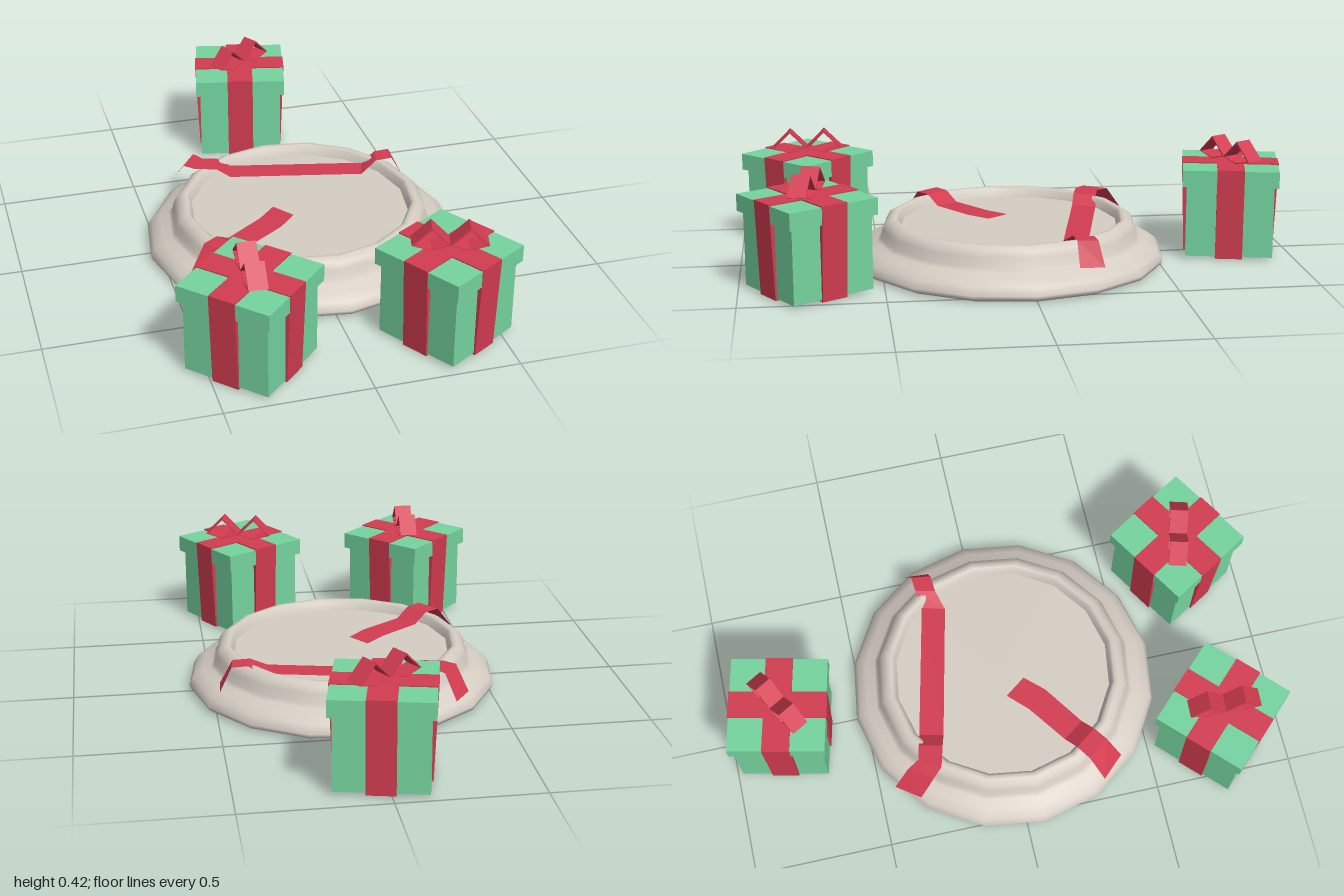
import * as THREE from 'three';

export function createModel() {
  const stone = new THREE.MeshStandardMaterial({ color: 0xd6cec4 });
  const green = new THREE.MeshStandardMaterial({ color: 0x75d49f });
  const red = new THREE.MeshStandardMaterial({ color: 0xd23c50, side: THREE.DoubleSide });
  const model = new THREE.Group();
  model.name = 'giftDisplay';

  const add = (parent, name, geometry, material) => {
    const mesh = new THREE.Mesh(geometry, material);
    mesh.name = name;
    parent.add(mesh);
    return mesh;
  };

  // Round platform: underside, moulded rim and sunken floor
  const platform = new THREE.Group();
  platform.name = 'platform';
  platform.position.set(0.02, 0, 0.03);
  model.add(platform);
  const lathe = (name, profile) => add(platform, name, new THREE.LatheGeometry(
    profile.map(([r, y]) => new THREE.Vector2(r, y)), 16, 0.053), stone);
  lathe('platformUnderside', [[0, 0], [0.535, 0]]);
  lathe('platformRim', [
    [0.535, 0], [0.558, 0.01], [0.563, 0.025], [0.548, 0.052], [0.515, 0.075], [0.482, 0.085],
    [0.469, 0.1], [0.462, 0.13], [0.45, 0.152], [0.43, 0.165], [0.415, 0.165],
    [0.405, 0.157], [0.396, 0.13],
  ]);
  lathe('platformFloor', [[0.396, 0.13], [0, 0.13]]);

  // Flat ribbon strip; each section is centre x, y, z and half-width x, z
  const ribbonStrip = (name, sections) => {
    const pos = [];
    const corner = ([x, y, z, wx, wz], s) => [x + s * wx, y, z + s * wz];
    for (let i = 0; i < sections.length - 1; i++) {
      const a = corner(sections[i], 1), b = corner(sections[i], -1);
      const c = corner(sections[i + 1], 1), d = corner(sections[i + 1], -1);
      pos.push(...a, ...b, ...c, ...b, ...d, ...c);
    }
    const g = new THREE.BufferGeometry();
    g.setAttribute('position', new THREE.Float32BufferAttribute(pos, 3));
    g.computeVertexNormals();
    // Keep the front side facing up
    if (g.attributes.normal.getY(0) < 0) {
      const p = g.attributes.position;
      for (let i = 0; i < p.count; i += 3) {
        const v = [p.getX(i), p.getY(i), p.getZ(i)];
        p.setXYZ(i, p.getX(i + 1), p.getY(i + 1), p.getZ(i + 1));
        p.setXYZ(i + 1, ...v);
      }
      g.computeVertexNormals();
    }
    add(model, name, g, red);
  };
  ribbonStrip('longRibbon', [
    [-0.345, 0.09, -0.402, 0.03, -0.042], [-0.312, 0.173, -0.345, 0.028, -0.041],
    [-0.28, 0.173, -0.305, 0.022, -0.038], [-0.215, 0.171, -0.289, 0.01, -0.042],
    [-0.165, 0.138, -0.277, 0.01, -0.043], [0.32, 0.138, -0.168, 0.012, -0.042],
    [0.38, 0.174, -0.185, 0.008, -0.036], [0.44, 0.174, -0.19, 0.005, -0.036],
    [0.485, 0.09, -0.2, 0.003, -0.043],
  ]);
  ribbonStrip('shortRibbon', [
    [-0.412, 0.085, 0.347, 0.038, 0.04], [-0.358, 0.172, 0.3, 0.03, 0.038],
    [-0.308, 0.172, 0.265, 0.028, 0.038], [-0.26, 0.138, 0.232, 0.027, 0.038],
    [-0.115, 0.138, 0.13, 0.03, 0.038], [-0.05, 0.138, 0.062, 0.028, 0.038],
  ]);

  // Wrapping band, wide at the lid and narrowing to the foot of the box
  const bandGeometry = () => {
    const g = new THREE.BoxGeometry(1, 0.333, 0.098);
    const p = g.attributes.position;
    for (let i = 0; i < p.count; i++) {
      p.setX(i, Math.sign(p.getX(i)) * (p.getY(i) > 0 ? 0.176 : 0.163));
    }
    g.computeVertexNormals();
    return g.translate(0, 0.1715, 0);
  };

  // Bow loop: a hollow diamond extruded to the ribbon's width
  const diamond = (Path, inset) => {
    const path = new Path();
    path.moveTo(-0.065 + inset * 1.4, 0.356);
    path.lineTo(0, 0.338 + inset * 0.7);
    path.lineTo(0.065 - inset * 1.4, 0.356);
    path.lineTo(0, 0.421 - inset * 1.4);
    path.closePath();
    return path;
  };
  const loopGeometry = () => {
    const shape = diamond(THREE.Shape, 0);
    shape.holes.push(diamond(THREE.Path, 0.005));
    return new THREE.ExtrudeGeometry(shape, { depth: 0.065, bevelEnabled: false })
      .translate(0, 0, -0.0325);
  };

  const gift = (name, x, z, degrees) => {
    const group = new THREE.Group();
    group.name = name;
    group.position.set(x, 0, z);
    group.rotation.y = -THREE.MathUtils.degToRad(degrees);
    model.add(group);
    add(group, 'boxBody', new THREE.BoxGeometry(0.315, 0.27, 0.315), green).position.y = 0.147;
    add(group, 'boxLid', new THREE.BoxGeometry(0.346, 0.06, 0.346), green).position.y = 0.304;
    add(group, 'wrappingBand', bandGeometry(), red);
    add(group, 'crossBand', bandGeometry(), red).rotation.y = Math.PI / 2;
    const bow = new THREE.Group();
    bow.name = 'bow';
    bow.rotation.y = -THREE.MathUtils.degToRad(47);
    group.add(bow);
    for (const s of [-1, 1]) add(bow, 'bowLoop', loopGeometry(), red).position.x = s * 0.063;
  };
  gift('backGift', 0, -0.793, 102.6);
  gift('frontRightGift', -0.345, 0.75, 45.5);
  gift('frontLeftGift', 0.326, 0.757, -31.5);

  return model;
}
